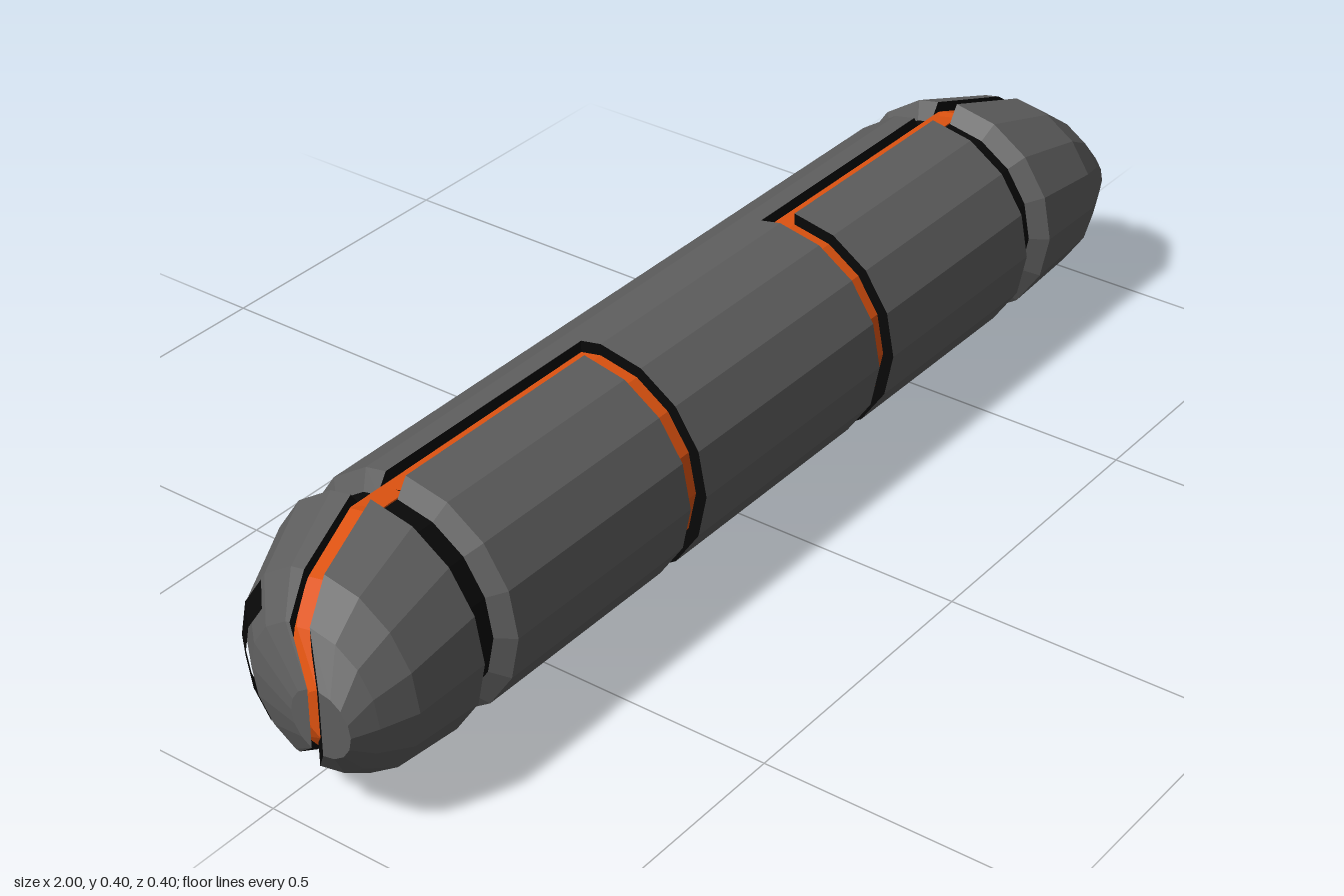
import * as THREE from 'three';

const mat = (name, color, extra = {}) => {
  const m = new THREE.MeshStandardMaterial({ color, ...extra });
  m.name = name;
  return m;
};

const STEP = Math.PI / 8; // sixteen-sided sections
const CY = 0.2; // height of the long axis

// A ring is [x, radius, z centre]; returns its [y, z] points for one part of the section.
function section(kind, [, r, c]) {
  const at = (k) => [CY + r * Math.sin(k * STEP), c + r * Math.cos(k * STEP)];
  const run = (a, b) => Array.from({ length: b - a + 1 }, (_, i) => at(a + i));
  const w = Math.min(0.038, r * 0.38); // seam width
  const t = w / (r * Math.sin(STEP));
  const h = r * (1 - t + t * Math.cos(STEP));
  const top = [CY + h, c - w], bottom = [CY - h, c - w];
  if (kind === 'front') return run(-4, 4);
  if (kind === 'back') return [top, ...run(5, 11), bottom];
  if (kind === 'wide') return [bottom, ...run(-4, 4), top];
  if (kind === 'window') return run(6, 10);
  return run(0, 15);
}

// Lofts rings given in order of rising x; group 0 is the skin, group 1 the cut walls.
// ends: material group of the [low x, high x] end face, or -1 for none.
function loft(kind, rings, ends = [-1, -1]) {
  const tris = [[], []];
  const rows = rings.map((ring) => section(kind, ring).map(([y, z]) => [ring[0], y, z]));
  const n = rows[0].length;
  const segments = kind === 'window' ? n - 1 : n;
  for (let i = 0; i + 1 < rows.length; i++) {
    for (let j = 0; j < segments; j++) {
      const k = (j + 1) % n;
      const wall = k === 0 && kind !== 'full' ? 1 : 0;
      const [a, b, c, d] = [rows[i][j], rows[i + 1][j], rows[i + 1][k], rows[i][k]];
      tris[wall].push(...a, ...b, ...c, ...a, ...c, ...d);
    }
  }
  ends.forEach((g, e) => {
    if (g < 0) return;
    const p = rows[e ? rows.length - 1 : 0];
    for (let j = 1; j + 1 < n; j++) {
      tris[g].push(...p[0], ...(e ? p[j + 1] : p[j]), ...(e ? p[j] : p[j + 1]));
    }
  });
  const geo = new THREE.BufferGeometry();
  geo.setAttribute('position', new THREE.Float32BufferAttribute([...tris[0], ...tris[1]], 3));
  geo.addGroup(0, tris[0].length / 3, 0);
  geo.addGroup(tris[0].length / 3, tris[1].length / 3, 1);
  geo.computeVertexNormals();
  return geo;
}

export function createModel() {
  const grey = mat('shell grey', 0x5e5e5e);
  const black = mat('groove black', 0x080808, { side: THREE.DoubleSide });
  const orange = mat('glow orange', 0xdc5210);
  const model = new THREE.Group();
  model.name = 'capsule';
  const add = (name, geo, material) => {
    const mesh = new THREE.Mesh(geo, material);
    mesh.name = name;
    model.add(mesh);
    return mesh;
  };
  const shell = [grey, black];

  // Body: back shell, front centre panel and the orange core beneath them
  add('backShell', loft('back', [[-0.705, 0.17, 0], [-0.685, 0.2, 0], [0.685, 0.2, 0], [0.705, 0.17, 0]]), shell);
  add('frontCentrePanel', loft('wide', [[-0.235, 0.2, 0], [0.235, 0.2, 0]], [1, 1]), shell);
  add('glowCore', loft('full', [[-0.696, 0.18, 0], [0.696, 0.18, 0]]), [orange, orange]);

  const cap = [[0.74, 0.17, 0], [0.76, 0.2, 0], [0.9, 0.165, 0.036], [0.96, 0.12, 0.06], [1, 0.055, 0.107]];
  const capCore = [[0.75, 0.178, 0], [0.765, 0.18, 0], [0.89, 0.147, 0.036], [0.945, 0.103, 0.06], [0.985, 0.045, 0.107]];
  const [r0, r1] = [cap[2], cap[3]];
  const windowRings = [0.14, 0.7].map((t) => {
    const [x, r, c] = r0.map((v, i) => v + (r1[i] - v) * t);
    return [x + 0.003, r + 0.005, c];
  });

  for (const [side, s] of [['left', 1], ['right', -1]]) {
    const place = (rings) => (s > 0 ? rings : rings.map(([x, r, c]) => [-x, r, c]).reverse());
    const ends = (inner, outer) => (s > 0 ? [inner, outer] : [outer, inner]);

    // Front end panel
    add(side + 'FrontPanel', loft('front', place([[0.275, 0.2, 0], [0.685, 0.2, 0], [0.705, 0.17, 0]]), ends(1, -1)), shell);

    // Neck ring with the orange seam crossing it
    add(side + 'NeckRing', loft('full', place([[0.69, 0.17, 0], [0.765, 0.17, 0]])), [black, black]);
    add(side + 'NeckSeam', new THREE.BoxGeometry(0.075, 0.345, 0.038), orange).position.set(s * 0.7275, CY, -0.019);

    // Nose cap in two halves over its core, with the tip set forward
    for (const half of ['front', 'back']) {
      add(`${side}Cap_${half}`, loft(half, place(cap), ends(-1, 0)), shell);
    }
    add(side + 'CapCore', loft('full', place(capCore), ends(-1, 0)), [orange, orange]);

    // Dark curved window on the back of the cap
    add(side + 'Window', loft('window', place(windowRings)), [black, black]);
  }
  return model;
}
